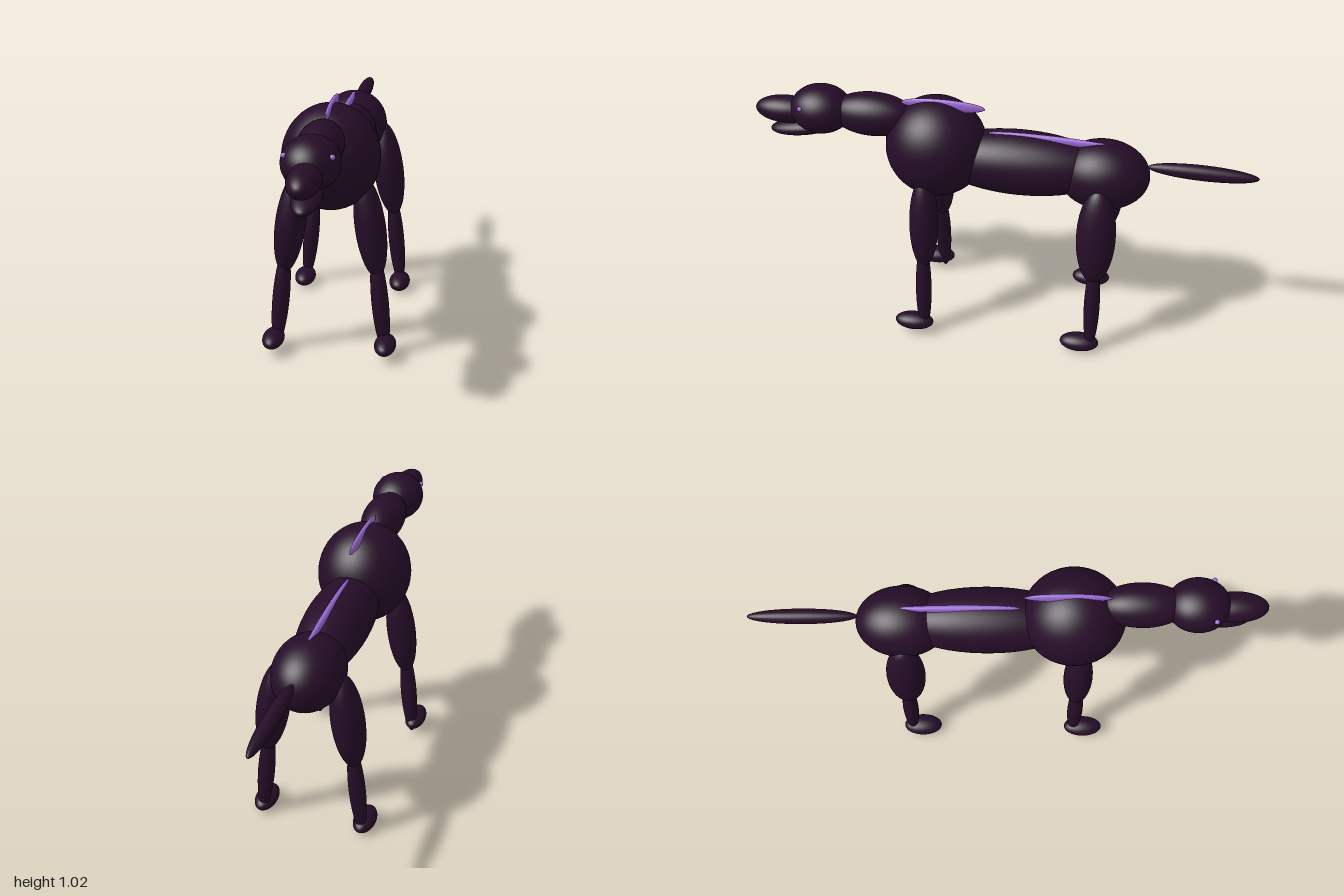
import * as THREE from 'three';

export function createModel() {
  const model = new THREE.Group();
  model.name = 'hound';
  const hide = new THREE.MeshStandardMaterial({ name: 'dark hide', color: 0x260d28 });
  const violet = new THREE.MeshStandardMaterial({ name: 'violet', color: 0x9a68d4 });
  const ball = new THREE.SphereGeometry(1, 40, 28);

  // Ellipsoid part: centre, radii, rotation about x and z
  function blob(name, parent, pos, radii, material = hide, rx = 0, rz = 0) {
    const mesh = new THREE.Mesh(ball, material);
    mesh.name = name;
    mesh.position.set(...pos);
    mesh.scale.set(...radii);
    mesh.rotation.set(rx, 0, rz);
    parent.add(mesh);
    return mesh;
  }

  // Trunk
  blob('chest', model, [0, 0.803, 0.267], [0.19, 0.206, 0.203]);
  blob('belly', model, [0, 0.76, -0.07], [0.13, 0.13, 0.36]);
  blob('hips', model, [0, 0.743, -0.4], [0.14, 0.14, 0.183]);
  blob('tail', model, [0, 0.793, -0.785], [0.03, 0.031, 0.215], hide, -0.02);

  // Neck and head
  blob('neck', model, [0, 0.922, 0.52], [0.086, 0.088, 0.17]);
  blob('head', model, [0, 0.925, 0.73], [0.107, 0.097, 0.123]);
  blob('snout', model, [0, 0.907, 0.875], [0.06, 0.054, 0.125]);
  blob('lowerJaw', model, [0, 0.835, 0.81], [0.054, 0.032, 0.14], hide, 0.17);

  // Back ridges
  blob('shoulderRidge', model, [0, 0.99, 0.236], [0.013, 0.027, 0.166], violet);
  blob('spineRidge', model, [0, 0.878, -0.19], [0.013, 0.018, 0.25], violet, -0.025);

  // Mirrored eyes and legs
  for (const [side, s] of [['left', 1], ['right', -1]]) {
    blob(side + 'Eye', model, [s * 0.084, 0.966, 0.79], [0.01, 0.01, 0.01], violet);

    const front = new THREE.Group();
    front.name = side + 'FrontLeg';
    blob('upperLeg', front, [s * 0.156, 0.53, 0.295], [0.06, 0.205, 0.058], hide, 0, s * 0.14);
    blob('lowerLeg', front, [s * 0.197, 0.22, 0.298], [0.034, 0.21, 0.032], hide, 0, s * 0.1);
    blob('paw', front, [s * 0.223, 0.058, 0.338], [0.043, 0.034, 0.08]);

    const hind = new THREE.Group();
    hind.name = side + 'HindLeg';
    blob('thigh', hind, [s * 0.152, 0.545, -0.396], [0.064, 0.21, 0.078], hide, 0, s * 0.14);
    blob('lowerLeg', hind, [s * 0.191, 0.22, -0.398], [0.034, 0.21, 0.032], hide, 0, s * 0.1);
    blob('paw', hind, [s * 0.212, 0.036, -0.355], [0.045, 0.035, 0.08]);
    model.add(front, hind);
  }
  return model;
}
